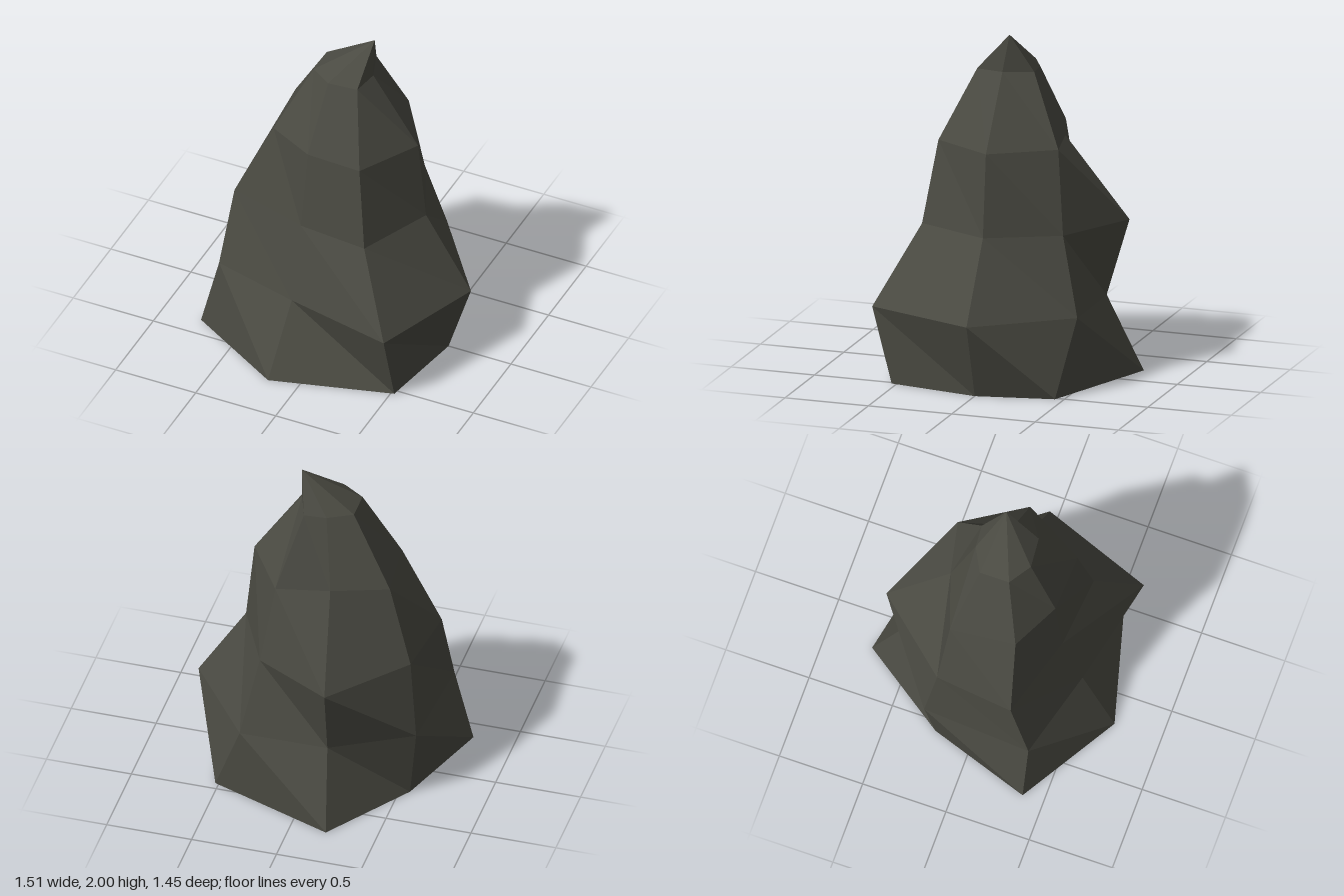
import * as THREE from 'three';

// Seven-sided cross-sections [x, z], from the foot up to the shoulder
const sections = [
  { y: 0, ring: [[0.61, 0], [0.52, 0.53], [-0.18, 0.72], [-0.76, 0.375], [-0.56, -0.22], [-0.21, -0.725], [0.52, -0.45]] },
  { y: 0.44, ring: [[0.75, 0], [0.51, 0.65], [-0.13, 0.51], [-0.65, 0.37], [-0.61, -0.27], [-0.16, -0.52], [0.355, -0.525]] },
  { y: 0.89, ring: [[0.47, 0], [0.285, 0.43], [-0.13, 0.39], [-0.61, 0.25], [-0.56, -0.21], [-0.18, -0.65], [0.27, -0.41]] },
  { y: 1.37, ring: [[0.42, 0], [0.22, 0.355], [-0.11, 0.34], [-0.39, 0.2], [-0.43, -0.18], [-0.11, -0.29], [0.195, -0.355]] },
  { y: 1.78, ring: [[0.14, 0], [0.115, 0.16], [-0.06, 0.175], [-0.19, 0.09], [-0.19, -0.085], [-0.05, -0.16], [0.08, -0.17]] },
];
const tip = [0.13, 2, -0.04];

function rockGeometry() {
  const sides = sections[0].ring.length;
  const positions = [];
  const index = [];
  for (const { y, ring } of sections) {
    for (const [x, z] of ring) positions.push(x, y, z);
  }
  const tipIndex = positions.length / 3;
  positions.push(...tip, 0, 0, 0);
  const baseIndex = tipIndex + 1;
  const lastRing = (sections.length - 1) * sides;

  for (let i = 0; i < sides; i++) {
    const j = (i + 1) % sides;
    // Side facets between neighbouring sections
    for (let low = 0; low < lastRing; low += sides) {
      const high = low + sides;
      index.push(low + i, high + j, low + j);
      index.push(low + i, high + i, high + j);
    }
    // Peak and underside
    index.push(lastRing + i, tipIndex, lastRing + j);
    index.push(baseIndex, i, j);
  }

  const geometry = new THREE.BufferGeometry();
  geometry.setAttribute('position', new THREE.Float32BufferAttribute(positions, 3));
  geometry.setIndex(index);
  const faceted = geometry.toNonIndexed();
  faceted.computeVertexNormals();
  return faceted;
}

export function createModel() {
  const stone = new THREE.MeshStandardMaterial({ color: 0x4a4a42, flatShading: true });
  stone.name = 'darkStone';

  const rock = new THREE.Mesh(rockGeometry(), stone);
  rock.name = 'rockSpire';

  const model = new THREE.Group();
  model.name = 'rock';
  model.add(rock);
  return model;
}
